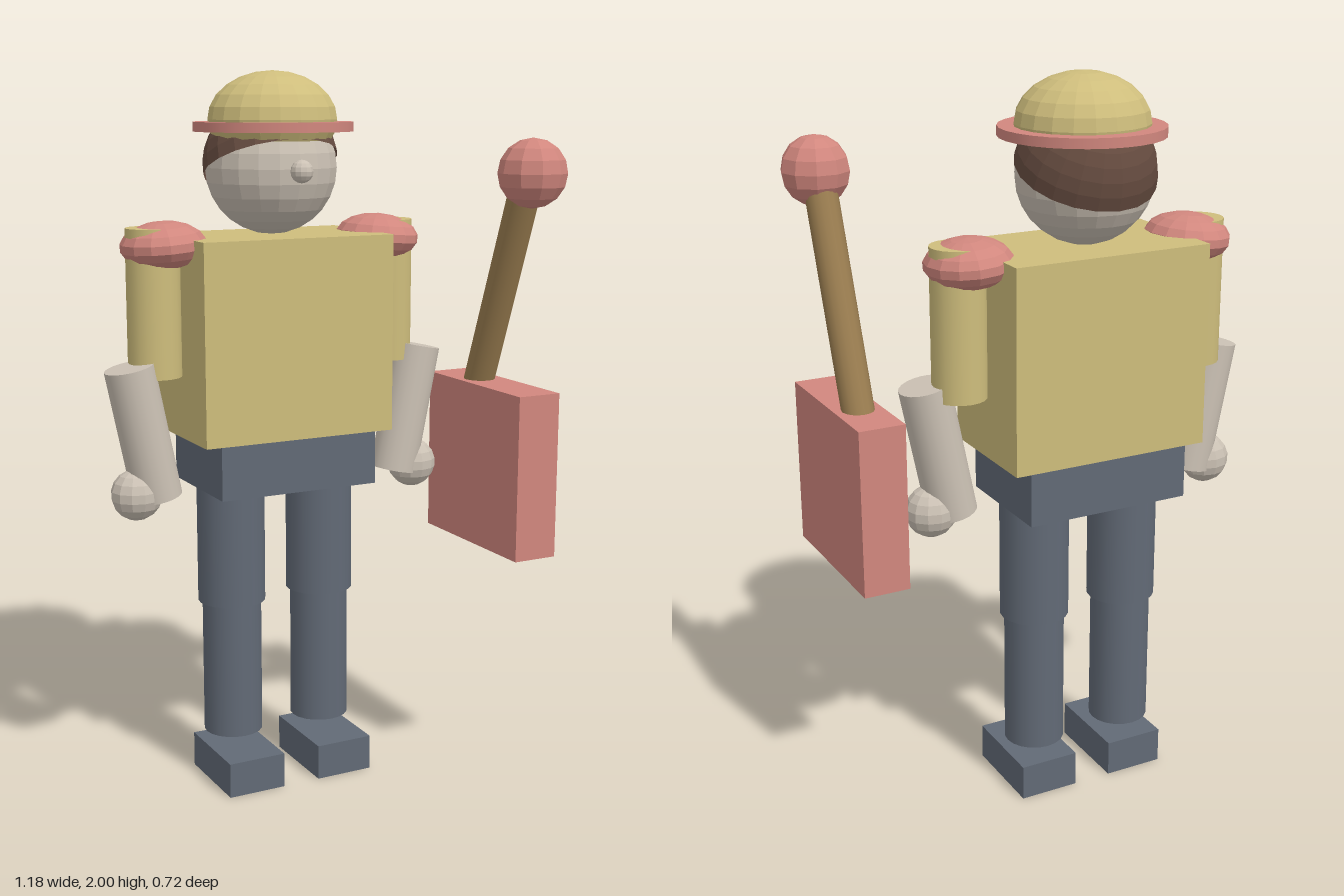
import * as THREE from 'three';

const mat = (name, color) => Object.assign(new THREE.MeshStandardMaterial({ color }), { name });

export function createModel() {
  const yellow = mat('tunicYellow', 0xcebd7c);
  const red = mat('trimRed', 0xd1877e);
  const navy = mat('trouserSlate', 0x626a76);
  const skin = mat('paleSkin', 0xcbc1b4);
  const brown = mat('hairBrown', 0x664c40);
  const wood = mat('handleWood', 0x9a7d50);

  const model = new THREE.Group();
  model.name = 'figureWithHammer';
  const MID = -0.078; // the figure's own centre line
  const Z = -0.143;

  const add = (name, geo, material, x, y, z) => {
    const mesh = new THREE.Mesh(geo, material);
    mesh.name = name;
    mesh.position.set(x, y, z);
    model.add(mesh);
    return mesh;
  };
  const box = (w, h, d) => new THREE.BoxGeometry(w, h, d);
  const tube = (r, h, n = 20) => new THREE.CylinderGeometry(r, r, h, n);
  // Faceted ball, optionally cut short below
  const ball = (rx, ry, rz, n = 16, m = 10, cut = Math.PI) => {
    const g = new THREE.SphereGeometry(1, n, m, 0, Math.PI * 2, 0, cut).toNonIndexed();
    g.scale(rx, ry, rz);
    g.computeVertexNormals();
    return g;
  };

  // Body
  add('torso', box(0.566, 0.548, 0.35), yellow, MID, 1.287, -0.145);
  add('hips', box(0.47, 0.152, 0.328), navy, MID, 0.938, -0.144);

  // Head
  add('head', ball(0.182, 0.182, 0.182, 20, 14), skin, MID, 1.742, -0.155);
  add('nose', ball(0.031, 0.031, 0.031, 12, 8), skin, MID, 1.737, 0.033);
  const hair = add('hair', ball(0.187, 0.187, 0.187, 20, 8, Math.PI / 2), brown, MID, 1.748, -0.158);
  hair.rotation.x = -0.4;
  hair.material.side = THREE.DoubleSide;

  // Hat
  add('hatCrown', ball(0.179, 0.13, 0.172, 20, 12), yellow, MID, 1.87, Z);
  add('hatBrim', tube(0.219, 0.026, 28), red, MID, 1.851, -0.141);

  // Limbs, mirrored about the centre line
  for (const s of [-1, 1]) {
    const side = s > 0 ? 'left' : 'right';
    const x = (d) => MID + s * d;
    add(side + 'UpperArm', tube(0.073, 0.4), yellow, x(0.357), 1.39, Z);
    const pad = add(side + 'ShoulderPad', ball(0.116, 0.065, 0.125, 14, 9), red, x(0.327), 1.542, Z);
    pad.rotation.z = -s * 0.08;
    const forearm = add(side + 'Forearm', tube(0.068, 0.37), skin, x(0.407), 1.044, -0.112);
    forearm.rotation.z = -s * 0.2;
    add(side + 'Hand', ball(0.071, 0.071, 0.068, 12, 9), skin, x(0.431), 0.876, -0.112);
    add(side + 'Thigh', tube(0.096, 0.335), navy, x(0.139), 0.697, Z);
    add(side + 'Shin', tube(0.084, 0.395), navy, x(0.139), 0.3375, Z);
    add(side + 'Foot', box(0.169, 0.1, 0.26), navy, x(0.139), 0.05, -0.109);
  }

  // Hammer: head, leaning handle and knob
  const X = 0.493;
  add('hammerHead', box(0.13, 0.464, 0.466), red, X, 0.905, 0.1);
  const top = new THREE.Vector3(X, 1.72, 0.25);
  const foot = new THREE.Vector3(X, 1.0, -0.02);
  const mid = top.clone().add(foot).multiplyScalar(0.5);
  const handle = add('hammerHandle', tube(0.044, top.distanceTo(foot), 16), wood, mid.x, mid.y, mid.z);
  handle.quaternion.setFromUnitVectors(new THREE.Vector3(0, 1, 0), top.sub(foot).normalize());
  add('hammerKnob', ball(0.094, 0.094, 0.094, 10, 8), red, X, 1.73, 0.27);

  return model;
}
